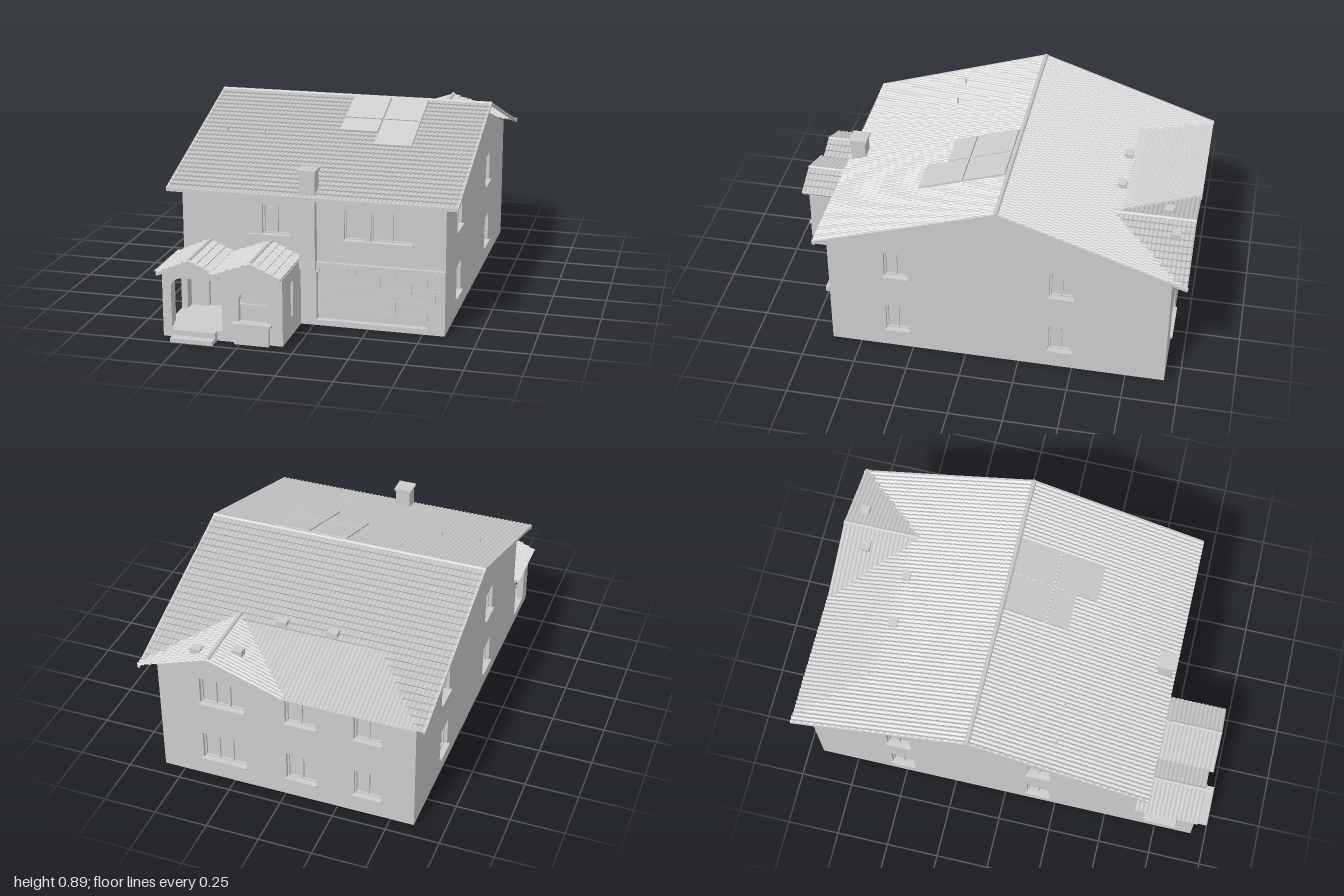
import * as THREE from 'three';

const grey = new THREE.MeshStandardMaterial({ color: 0xcccccc, side: THREE.DoubleSide });
grey.name = 'plain grey';
const T = 0.03; // wall thickness

function add(parent, name, geometry) {
  const mesh = new THREE.Mesh(geometry, grey);
  mesh.name = name;
  parent.add(mesh);
  return mesh;
}

// Box given by its minimum and maximum corners
function box(parent, name, x0, x1, y0, y1, z0, z1) {
  const mesh = add(parent, name, new THREE.BoxGeometry(x1 - x0, y1 - y0, z1 - z0));
  mesh.position.set((x0 + x1) / 2, (y0 + y1) / 2, (z0 + z1) / 2);
  return mesh;
}

// Opening with optional rounded top corners
function opening([x0, x1, y0, y1, r = 0]) {
  const p = new THREE.Path();
  p.moveTo(x0, y0);
  p.lineTo(x1, y0);
  if (r) {
    p.absarc(x1 - r, y1 - r, r, 0, Math.PI / 2);
    p.absarc(x0 + r, y1 - r, r, Math.PI / 2, Math.PI);
  } else {
    p.lineTo(x1, y1);
    p.lineTo(x0, y1);
  }
  p.closePath();
  return p;
}

// Wall whose outer face is local z = 0
function wall(parent, name, outline, holes, position, turn) {
  const group = new THREE.Group();
  group.name = name;
  group.position.set(...position);
  group.rotation.y = turn;
  const shape = new THREE.Shape(outline.map(p => new THREE.Vector2(...p)));
  shape.holes = holes.map(opening);
  const geo = new THREE.ExtrudeGeometry(shape, { depth: T, bevelEnabled: false, curveSegments: 8 });
  add(group, name + 'Panel', geo.translate(0, 0, -T));
  parent.add(group);
  return group;
}

// Recessed pane, frame bars, mullions and projecting sill
function windowUnit(parent, x0, x1, y0, y1, mullions = 1, sill = [x0 - 0.005, x1 + 0.005]) {
  const g = new THREE.Group(), f = 0.008, a = -0.026, b = -0.016;
  g.name = 'window';
  parent.add(g);
  box(g, 'pane', x0, x1, y0, y1, -T, a);
  box(g, 'frameBottom', x0, x1, y0, y0 + f, a, b);
  box(g, 'frameTop', x0, x1, y1 - f, y1, a, b);
  for (let i = 0; i <= mullions + 1; i++) {
    const x = x0 + f / 2 + (x1 - x0 - f) * i / (mullions + 1);
    box(g, 'frameUpright', x - f / 2, x + f / 2, y0, y1, a, b);
  }
  if (sill) box(g, 'sill', ...sill, y0 - 0.006, y0 + 0.003, -0.02, 0.012);
}

// Tiled slope: local x along the ridge, z downhill; rows overlap, columns are ribbed
function tiles(parent, name, at, heading, width, run, drop, o = {}) {
  const len = Math.hypot(run, drop);
  const rows = Math.round(len / 0.0355), cols = Math.round(width / 0.02);
  const wave = [0, 0.004, 0.006, 0.004], n = cols * 4, pos = [];
  const point = (i, line) => {
    const row = line >> 1, low = line & 1, t = (row + low) / rows;
    let x = (i / n - 0.5) * width;
    const lift = o.ribsOnly?.(x, t) ? 0.002 : low * 0.007;
    const y = wave[i % 4] + lift;
    if (o.limit) x = o.limit(x, t);
    return [x, y, t * len];
  };
  for (let line = 0; line < rows * 2 - 1; line++) {
    for (let i = 0; i < n; i++) {
      const a = point(i, line), b = point(i + 1, line);
      const c = point(i, line + 1), d = point(i + 1, line + 1);
      if (o.cut?.((a[0] + d[0]) / 2, (a[2] + d[2]) / 2 / len)) continue;
      pos.push(...a, ...c, ...b, ...b, ...c, ...d);
    }
  }
  const geo = new THREE.BufferGeometry();
  geo.setAttribute('position', new THREE.Float32BufferAttribute(pos, 3));
  geo.computeVertexNormals();
  const mesh = add(parent, name, geo);
  mesh.position.set(...at);
  mesh.rotation.set(Math.atan2(drop, run), heading, 0, 'YXZ');
  if (o.deck) box(mesh, 'roofDeck', -width / 2, width / 2, -o.deck, 0, 0, len);
  if (o.verge) for (const s of [-1, 1]) {
    const x = s * (width / 2 - 0.005);
    box(mesh, 'vergeBoard', x - 0.005, x + 0.005, -0.004, 0.009, 0, len);
  }
  return mesh;
}

function ridgeCap(parent, from, to, r) {
  const a = new THREE.Vector3(...from), b = new THREE.Vector3(...to);
  add(parent, 'ridgeCap', new THREE.TubeGeometry(new THREE.LineCurve3(a, b), 1, r, 8));
}

export function createModel() {
  const house = new THREE.Group();
  house.name = 'house';
  const H = Math.PI / 2, UP = [0.41, 0.55], LOW = [0.092, 0.236];

  // Front wall with garage, door and upper windows
  const frontWins = [[-0.237, -0.105, ...UP], [0.14, 0.24, ...UP], [0.262, 0.448, ...UP]];
  const front = wall(house, 'frontWall', [[-0.61, 0], [0.6, 0], [0.6, 0.61], [-0.61, 0.61]],
    [...frontWins, [0.0125, 0.523, 0.025, 0.253], [-0.495, -0.385, 0.045, 0.265]], [0, 0, 0.64], 0);
  windowUnit(front, ...frontWins[0], 1, [-0.3, -0.1]);
  windowUnit(front, ...frontWins[1], 0, [0.137, 0.455]);
  windowUnit(front, ...frontWins[2], 1, null);

  // Garage door
  box(front, 'garageDoor', 0.0125, 0.523, 0.025, 0.253, -0.04, -T);
  for (let r = 0; r < 4; r++) for (let c = 0; c < 7; c++) {
    const x = 0.02 + c * 0.0718, y = 0.031 + r * 0.056;
    box(front, 'garagePanel', x, x + 0.064, y, y + 0.048, -T, -0.027);
  }

  // Entrance door with inset panel and knob
  box(front, 'door', -0.495, -0.385, 0.045, 0.265, -T, -0.02);
  box(front, 'doorPanel', -0.482, -0.398, 0.06, 0.252, -0.02, -0.015);
  box(front, 'doorHandle', -0.402, -0.396, 0.145, 0.16, -0.015, -0.005);

  // Scalloped cornice above the garage
  const cornice = new THREE.Shape();
  cornice.moveTo(0, 0.305);
  cornice.lineTo(0, 0.265);
  const corbels = [0.02, 0.19, 0.375, 0.55];
  corbels.forEach((x, i) => {
    if (i) cornice.quadraticCurveTo((x + corbels[i - 1]) / 2, 0.302, x - 0.01, 0.275);
    cornice.lineTo(x - 0.007, 0.26);
    cornice.lineTo(x + 0.007, 0.26);
    cornice.lineTo(x + 0.01, 0.275);
  });
  cornice.lineTo(0.6, 0.282);
  cornice.lineTo(0.6, 0.305);
  add(front, 'cornice', new THREE.ExtrudeGeometry(cornice, { depth: 0.014, bevelEnabled: false }));
  box(front, 'corniceCap', 0, 0.603, 0.28, 0.305, 0, 0.018).scale.y = 0.9;
  box(front, 'wallLamp', 0.542, 0.558, 0.157, 0.192, 0, 0.014);
  box(front, 'lampTop', 0.546, 0.554, 0.192, 0.204, 0, 0.01);

  // Side walls, each with two rows of two windows
  const sides = [[1, 0.6, [-0.322, 0.442]], [-1, -0.61, [-0.51, 0.165]]];
  for (const [s, x, centres] of sides) {
    const outline = [[0.93, 0], [0.93, 0.61], [0.15, 0.862], [-0.56, 0.632], [-0.64, 0.61], [-0.64, 0]]
      .map(([u, y]) => [s * u, y]);
    const holes = centres.flatMap(c => [UP, LOW].map(v => [c - 0.055, c + 0.055, ...v]));
    const side = wall(house, s > 0 ? 'leftWall' : 'rightWall', outline, holes, [x, 0, 0], s * H);
    holes.forEach(h => windowUnit(side, ...h));
  }

  // Back wall with its off-centre gable
  const backHoles = [[-0.4, -0.19], [0.006, 0.15], [0.327, 0.455]]
    .flatMap(u => [UP, LOW].map(v => [...u, ...v]));
  const back = wall(house, 'backWall',
    [[-0.6, 0], [0.61, 0], [0.61, 0.605], [0, 0.605], [-0.32, 0.71], [-0.6, 0.612]],
    backHoles, [0, 0, -0.93], Math.PI);
  backHoles.forEach((h, i) => windowUnit(back, ...h, i < 2 ? 2 : 1));

  // Main roof
  const ridge = [-0.005, 0.878, -0.15], W = 1.33;
  const frontRoof = tiles(house, 'frontRoof', ridge, 0, W, 0.837, 0.275, { verge: true });
  tiles(house, 'backRoof', ridge, Math.PI, W, 0.85, 0.285, {
    verge: true,
    cut: (u, t) => Math.abs(-u - 0.325) < (0.85 * t - 0.47) * 0.966 - 0.025,
    ribsOnly: (u, t) => t > 0.6 && -u < 0.32 && -u > -0.35 - (t - 0.6) * 0.7,
  });
  ridgeCap(house, [-0.67, 0.88, -0.15], [0.66, 0.88, -0.15], 0.011);
  box(house, 'frontGutter', -0.67, 0.66, 0.595, 0.61, 0.675, 0.69);

  // Rear cross gable, trimmed along its valleys
  for (const s of [1, -1]) {
    tiles(house, 'crossGableRoof', [0.32, 0.718, -0.81], s * H, 0.38, 0.34, 0.118, {
      limit: (x, t) => s > 0 ? Math.max(x, 0.352 * t - 0.19) : Math.min(x, 0.19 - 0.352 * t),
      ribsOnly: () => s < 0,
    });
  }
  ridgeCap(house, [0.32, 0.721, -1], [0.32, 0.721, -0.63], 0.01);

  // Solar panels lying on the front slope
  for (const [x0, x1, z0, z1] of [[0.005, 0.183, 0.01, 0.21], [0.19, 0.365, 0.01, 0.21],
    [0.005, 0.183, 0.217, 0.325], [0.19, 0.365, 0.217, 0.43]]) {
    box(frontRoof, 'solarPanel', x0, x1, 0.008, 0.0165, z0, z1);
  }
  // Vent pipes and rear roof vents
  for (const x of [-0.53, -0.345]) box(house, 'ventPipe', x - 0.004, x + 0.004, 0.745, 0.79, 0.225, 0.233);
  for (const [x, y, z] of [[-0.125, 0.725, -0.64], [0.115, 0.725, -0.64], [0.23, 0.698, -0.87], [0.405, 0.698, -0.92]]) {
    box(house, 'roofVent', x - 0.024, x + 0.024, y - 0.02, y + 0.016, z - 0.02, z + 0.02);
  }

  // Chimney running down the facade
  box(house, 'chimney', -0.057, 0.016, 0.27, 0.72, 0.605, 0.675);
  box(house, 'chimneyCap', -0.064, 0.022, 0.718, 0.73, 0.598, 0.682);

  // Porch walls
  const bayWin = [-0.26, -0.13, 0.097, 0.25, 0.064];
  const porch = wall(house, 'porchFront',
    [[-0.61, 0], [-0.06, 0], [-0.06, 0.306], [-0.195, 0.363], [-0.345, 0.3], [-0.48, 0.348], [-0.61, 0.29]],
    [[-0.57, -0.335, 0.045, 0.275, 0.05], bayWin], [0, 0, 0.93], 0);
  const pane = new THREE.Shape(opening(bayWin).getPoints(8));
  add(porch, 'bayPane', new THREE.ShapeGeometry(pane)).position.z = -0.026;
  box(porch, 'bayTransom', -0.26, -0.13, 0.168, 0.176, -0.026, -0.014);
  for (const [x, y] of [[-0.204, 0.338], [-0.188, 0.338], [-0.196, 0.35]]) {
    const dot = add(porch, 'gableVent', new THREE.CylinderGeometry(0.007, 0.007, 0.008, 8));
    dot.rotation.x = H;
    dot.position.set(x, y, 0.002);
  }
  wall(house, 'porchSide', [[0.64, 0], [0.9, 0], [0.9, 0.29], [0.64, 0.29]],
    [[0.69, 0.85, 0.045, 0.275, 0.05]], [-0.61, 0, 0], -H);
  box(house, 'porchPartition', -0.33, -0.31, 0, 0.3, 0.64, 0.9);
  const slit = [-0.802, -0.765, 0.092, 0.25];
  const bay = wall(house, 'baySide', [[-0.9, 0], [-0.64, 0], [-0.64, 0.306], [-0.9, 0.306]],
    [slit], [-0.06, 0, 0], H);
  windowUnit(bay, ...slit, 0, null);

  // Porch floor, steps and planter
  box(house, 'porchFloor', -0.6, -0.33, 0.02, 0.045, 0.64, 0.92);
  box(house, 'upperStep', -0.555, -0.36, 0.02, 0.045, 0.92, 0.962);
  box(house, 'lowerStep', -0.555, -0.36, 0, 0.02, 0.92, 1);
  box(house, 'planter', -0.275, -0.118, 0, 0.09, 0.93, 0.953);
  box(house, 'planterRim', -0.285, -0.108, 0.088, 0.098, 0.93, 0.958);

  // Two small porch gables
  const gables = [[-0.48, 0.363, 0.945, [0.14, 0.06], [0.155, 0.068]],
    [-0.195, 0.379, 0.967, [0.137, 0.06], [0.18, 0.066]]];
  for (const [x, y, z1, plus, minus] of gables) {
    const at = [x, y, (0.64 + z1) / 2], w = z1 - 0.64;
    tiles(house, 'porchRoof', at, H, w, ...plus, { deck: 0.014 });
    tiles(house, 'porchRoof', at, -H, w, ...minus, { deck: 0.014 });
    ridgeCap(house, [x, y + 0.002, 0.64], [x, y + 0.002, z1], 0.009);
  }
  return house;
}
